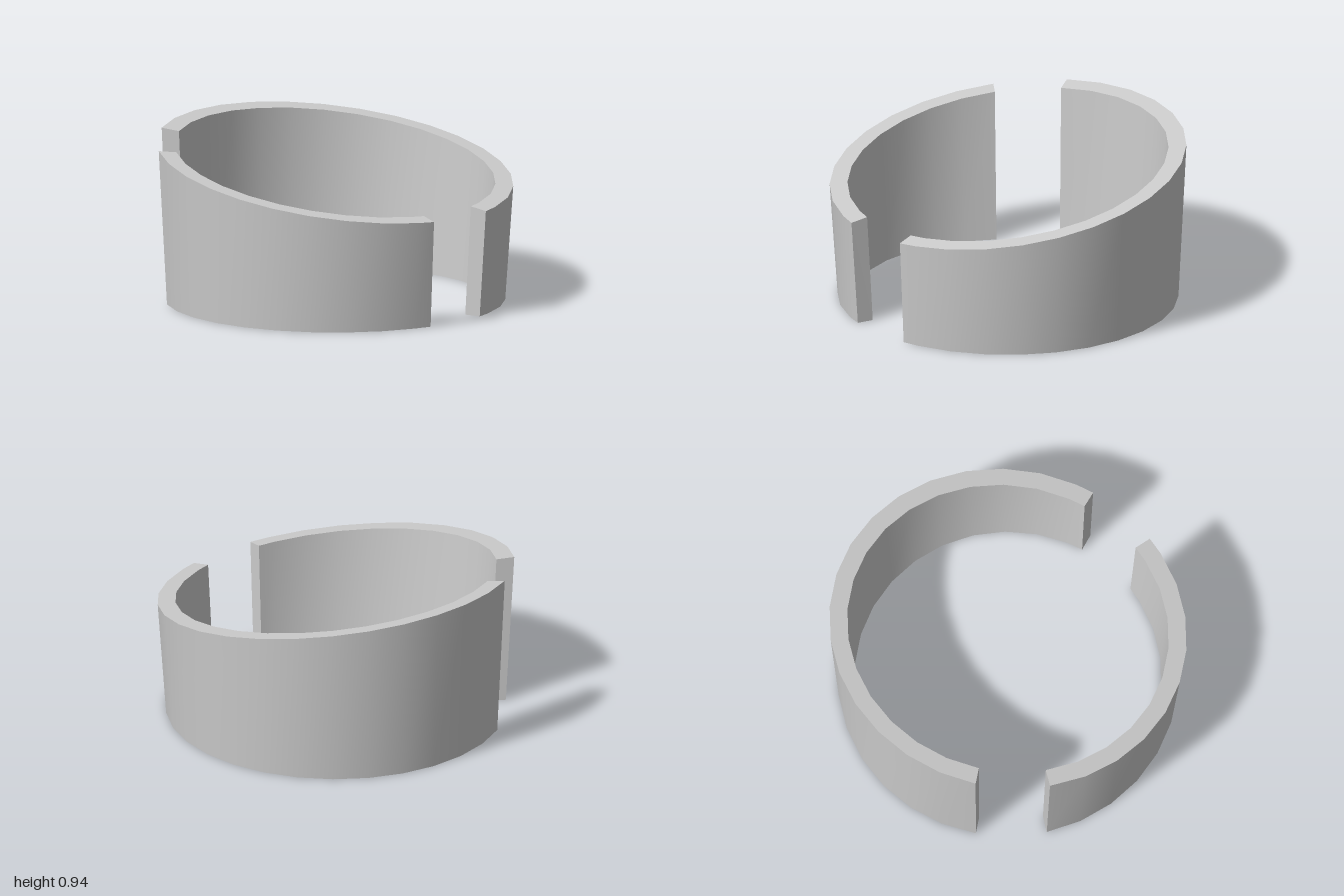
import * as THREE from 'three';
import { toCreasedNormals } from 'three/addons/utils/BufferGeometryUtils.js';

const STEP = 12;                        // degrees per facet
const TILT = THREE.MathUtils.degToRad(10);
const TOP_Y = 0.77;                     // height of the tilted rim's centre
const Z0 = 0.008;

// Point on the level base circle or on the tilted rim circle
function ringPoint(radius, deg, isTop) {
  const a = THREE.MathUtils.degToRad(deg);
  const x = radius * Math.cos(a), z = -radius * Math.sin(a);
  return isTop
    ? [x, TOP_Y - z * Math.sin(TILT), z * Math.cos(TILT) + Z0]
    : [x, 0, z + Z0];
}

// Four-cornered wall section swept from one angle to another, closed at both ends
function wallSegment(from, to) {
  const angles = [from];
  for (let a = Math.floor(from / STEP + 1) * STEP; a < to; a += STEP) angles.push(a);
  angles.push(to);

  const positions = [], index = [];
  for (const a of angles) {
    positions.push(
      ...ringPoint(0.947, a, false), ...ringPoint(1, a, true),
      ...ringPoint(0.9, a, true), ...ringPoint(0.853, a, false));
  }
  const quad = (a, b, c, d) => index.push(a, b, c, a, c, d);
  const last = (angles.length - 1) * 4;
  for (let i = 0; i < last; i += 4) {
    for (let k = 0; k < 4; k++) {
      const n = (k + 1) % 4;
      quad(i + k, i + 4 + k, i + 4 + n, i + n);
    }
  }
  quad(0, 1, 2, 3);
  quad(last + 3, last + 2, last + 1, last);

  const geometry = new THREE.BufferGeometry();
  geometry.setAttribute('position', new THREE.Float32BufferAttribute(positions, 3));
  geometry.setIndex(index);
  return toCreasedNormals(geometry, THREE.MathUtils.degToRad(35));
}

export function createModel() {
  const group = new THREE.Group();
  group.name = 'splitRing';
  const material = new THREE.MeshStandardMaterial({ color: 0xcccccc });

  // Long wall on the left and back, short wall on the right
  const walls = [['longWall', -78, 120], ['shortWall', 144, 258]];
  for (const [name, from, to] of walls) {
    const mesh = new THREE.Mesh(wallSegment(from, to), material);
    mesh.name = name;
    group.add(mesh);
  }
  return group;
}
